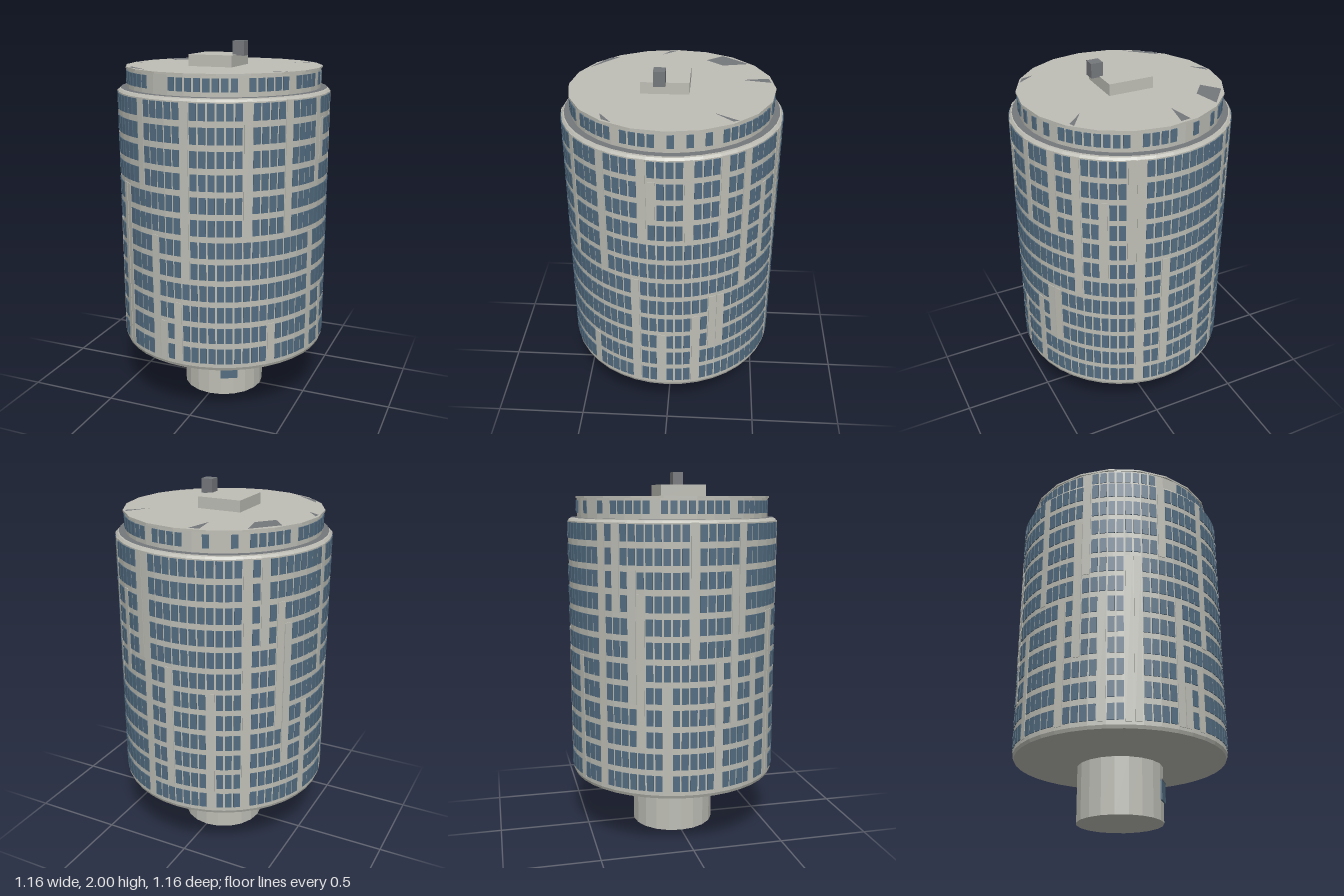
import * as THREE from 'three';
import { mergeGeometries } from 'three/addons/utils/BufferGeometryUtils.js';

const rad = THREE.MathUtils.degToRad;

// Thin upright plate on the wall of a round tower; azimuth 0 faces +z, 90 faces +x
function wallPlate(azimuth, radius, y, width, height, depth = 0.008) {
  const g = new THREE.BoxGeometry(width, height, depth);
  g.translate(0, y, radius);
  g.rotateY(rad(azimuth));
  return g;
}

// Blank wall strips: [azimuth, lowest row, highest row], rows counted upward from 0
const BLANK_STRIPS = [
  [2.3, 4, 11], [-2.3, 0, 2], [-11, 0, 1], [-16, 0, 5], [-24.7, 8, 11],
  [-38, 0, 7], [-42, 0, 7], [-56, 0, 5], [-69, 3, 9], [33, 6, 11], [47, 0, 1],
  [56, 6, 11], [74, 0, 5], [78, 8, 11], [83, 9, 10], [87.8, 0, 2],
  [101, 8, 11], [105, 0, 3], [114, 2, 4], [119, 2, 4], [119, 8, 11],
  [132, 5, 11], [146, 6, 9], [159, 7, 11], [164, 0, 11], [177, 1, 6],
  [199, 0, 5], [218, 0, 11], [226, 8, 11], [235, 4, 9], [240, 2, 8],
  [254, 0, 4], [266, 6, 11], [281, 0, 5], [294, 7, 11],
];

// Blank stretches of the crown windows: [from, to] in degrees
const CROWN_GAPS = [[31, 36], [62, 67], [84, 90], [96, 100], [105, 112], [116, 122],
  [160, 166], [186, 196], [200, 208], [214, 219], [246, 251], [290, 296], [336, 349]];

const angleGap = (a, b) => Math.abs(((a - b + 540) % 360) - 180);

export function createModel() {
  const model = new THREE.Group();
  model.name = 'roundTower';

  const concrete = new THREE.MeshStandardMaterial({ color: 0xbebeb6 });
  concrete.name = 'concrete';
  concrete.flatShading = true;
  const glass = new THREE.MeshStandardMaterial({ color: 0x536d82 });
  glass.name = 'blue glass';
  const darkGrey = new THREE.MeshStandardMaterial({ color: 0x75787c });
  darkGrey.name = 'dark grey';

  const add = (name, geometry, material, x = 0, y = 0, z = 0) => {
    const mesh = new THREE.Mesh(geometry, material);
    mesh.name = name;
    mesh.position.set(x, y, z);
    model.add(mesh);
    return mesh;
  };
  const lathe = (points, sides) =>
    new THREE.LatheGeometry(points.map(([r, y]) => new THREE.Vector2(r, y)), sides);

  // Narrow foot
  add('foot', new THREE.CylinderGeometry(0.23, 0.23, 0.31, 20), concrete, 0, 0.155, 0);

  // Main drum with a shallow conical underside and a bevelled top edge
  add('drum', lathe([[0, 0.295], [0.23, 0.297], [0.568, 0.328], [0.575, 0.345],
    [0.575, 1.738], [0.565, 1.75], [0, 1.752]], 40), concrete);

  // Dark gutter on the ledge around the crown
  const gutter = new THREE.RingGeometry(0.5, 0.56, 40);
  gutter.rotateX(-Math.PI / 2);
  add('ledgeGutter', gutter, darkGrey, 0, 1.755, 0);

  // Crown storey with a thin projecting lip
  add('crown', new THREE.CylinderGeometry(0.525, 0.525, 0.12, 36), concrete, 0, 1.805, 0);
  add('roofSlab', new THREE.CylinderGeometry(0.533, 0.533, 0.01, 20), concrete, 0, 1.862, 0);

  // Drum windows, twelve storeys of eighty, left out along the blank strips
  const columns = 80, rows = 12, step = 360 / columns;
  const rowY = (r) => 0.41 + r * 0.1163;
  const windows = [];
  for (let c = 0; c < columns; c++) {
    const azimuth = (c + 0.5) * step;
    for (let r = 0; r < rows; r++) {
      const blank = BLANK_STRIPS.some(([a, low, high]) =>
        r >= low && r <= high && angleGap(azimuth, a) < step * 0.52);
      if (!blank) windows.push(wallPlate(azimuth, 0.5745, rowY(r), 0.036, 0.084));
    }
  }
  add('drumWindows', mergeGeometries(windows), glass);

  // Slim wall panels filling the blank strips
  const panels = BLANK_STRIPS.map(([a, low, high]) => {
    const azimuth = (Math.floor(a / step) + 0.5) * step;
    const height = (high - low) * 0.1163 + 0.1;
    return wallPlate(azimuth, 0.5745, (rowY(low) + rowY(high)) / 2, 0.038, height, 0.006);
  });
  add('wallPanels', mergeGeometries(panels), concrete);

  // Crown windows
  const crownWindows = [];
  for (let c = 0; c < 72; c++) {
    const azimuth = (c + 0.5) * 5;
    if (CROWN_GAPS.some(([from, to]) => azimuth > from && azimuth < to)) continue;
    crownWindows.push(wallPlate(azimuth, 0.525, 1.812, 0.034, 0.066));
  }
  add('crownWindows', mergeGeometries(crownWindows), glass);

  // Entrance door in the foot
  add('door', wallPlate(29, 0.231, 0.157, 0.098, 0.105, 0.009), glass);
  add('doorLintel', wallPlate(29, 0.234, 0.212, 0.104, 0.006, 0.01), darkGrey);

  // Dark patches on the roof, as x, z corners
  const patches = [
    [[-0.445, -0.26], [-0.33, -0.4], [-0.3, -0.26], [-0.375, -0.17]],
    [[-0.125, -0.5], [-0.07, -0.51], [-0.1, -0.36]],
    [[0.4, -0.34], [0.32, -0.22], [0.41, -0.31]],
    [[-0.52, -0.01], [-0.45, 0.08], [-0.52, 0.03]],
    [[-0.4, 0.31], [-0.23, 0.46], [-0.38, 0.37]],
    [[0.45, 0.26], [0.355, 0.325], [0.42, 0.31]],
  ].map((corners) => {
    const shape = new THREE.Shape(corners.map(([x, z]) => new THREE.Vector2(x, -z)));
    return new THREE.ShapeGeometry(shape).rotateX(-Math.PI / 2);
  });
  add('roofPatches', mergeGeometries(patches), darkGrey, 0, 1.869, 0);

  // Rooftop plant room and the small vent box on its edge
  add('plantRoom', new THREE.BoxGeometry(0.245, 0.062, 0.248), concrete, -0.018, 1.897, 0.03);
  add('ventBox', new THREE.BoxGeometry(0.064, 0.077, 0.06), darkGrey, 0.116, 1.9615, 0.055);

  return model;
}
